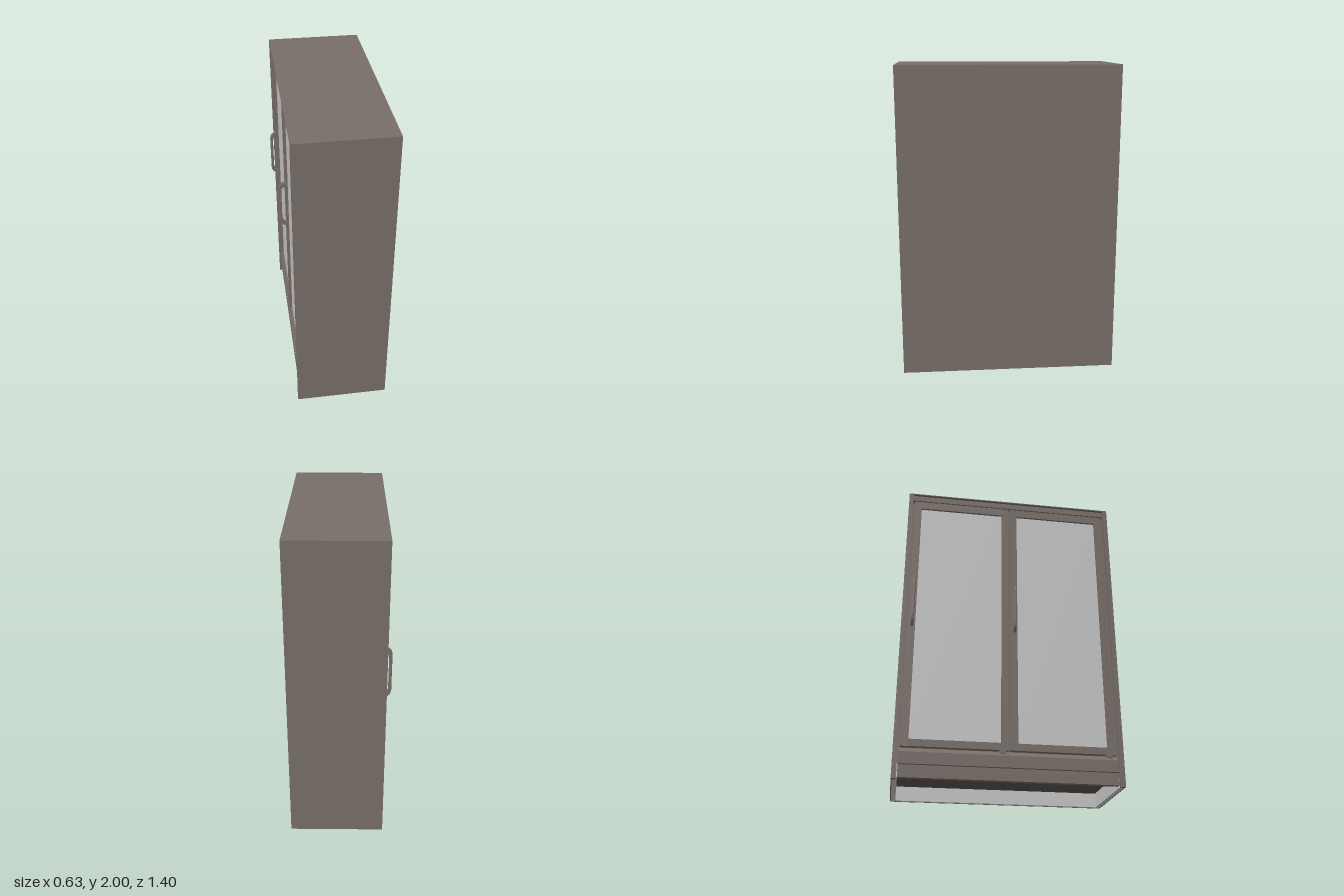
import * as THREE from 'three';

export function createModel() {
  const model = new THREE.Group();
  model.name = 'displayCooler';
  const mat = (name, color) => {
    const m = new THREE.MeshStandardMaterial({ color });
    m.name = name;
    return m;
  };
  const body = mat('taupe casing', 0x786e68);
  const light = mat('pale grey', 0xc8c8c8);
  const dark = mat('dark underside', 0x57524e);

  // Box given by its lower and upper limits on each axis
  const box = (name, material, x0, x1, y0, y1, z0, z1, parent = model) => {
    const g = new THREE.BoxGeometry(x1 - x0, y1 - y0, z1 - z0);
    g.translate((x0 + x1) / 2, (y0 + y1) / 2, (z0 + z1) / 2);
    const mesh = new THREE.Mesh(g, material);
    mesh.name = name;
    parent.add(mesh);
    return mesh;
  };

  const F = -0.285, B = 0.313, W = 0.699, T = 0.006;

  // Thin outer casing, open at the base and on the door side
  box('backPanel', body, B - T, B, 0, 2, -W, W);
  box('topPanel', body, F, B - T, 2 - T, 2, -W, W);
  for (const s of [-1, 1]) {
    const span = (a, b) => (s > 0 ? [a, b] : [-b, -a]);
    box('sidePanel', body, F, B - T, 0, 2 - T, ...span(W - T, W));
    box('sideFlange', body, F, F + 0.03, 0, 2 - T, ...span(W - 0.03, W - T));
    box('sideLiner', light, F + 0.03, B - T, 0, 0.1, ...span(W - 0.035, W - T));
  }
  box('backLiner', light, B - 0.035, B - T, 0, 0.1, -W + 0.035, W - 0.035);

  // Cabinet core with its dark floor
  box('cabinetCore', body, -0.235, B - T, 0.1, 2 - T, -W + T, W - T);
  box('floorPlate', dark, -0.235, B - 0.035, 0.092, 0.1, -W + 0.035, W - 0.035);
  box('topRail', body, -0.268, -0.235, 1.955, 2 - T, -W + 0.03, W - 0.03);

  // Kick panel with a sloping ledge and a seam
  const profile = new THREE.Shape();
  [[-0.235, 0.012], [-0.268, 0.012], [-0.268, 0.088], [-0.274, 0.092],
    [-0.274, 0.165], [-0.255, 0.19], [-0.235, 0.19]]
    .forEach(([x, y], i) => (i ? profile.lineTo(x, y) : profile.moveTo(x, y)));
  const kickGeo = new THREE.ExtrudeGeometry(profile, { depth: 2 * (W - 0.035), bevelEnabled: false });
  kickGeo.translate(0, 0, -(W - 0.035));
  const kick = new THREE.Mesh(kickGeo, body);
  kick.name = 'kickPanel';
  model.add(kick);

  // Closed bracket outline for the pull handle
  const handleShape = new THREE.Shape();
  [[0.022, -0.01], [0.003, -0.01], [-0.015, 0.003], [-0.025, 0.018], [-0.029, 0.04],
    [-0.029, 0.28], [-0.025, 0.302], [-0.015, 0.317], [0.003, 0.33], [0.022, 0.33],
    [0.022, 0.3], [0.003, 0.295], [-0.01, 0.275], [-0.01, 0.045], [0.003, 0.025], [0.022, 0.02]]
    .forEach(([x, y], i) => (i ? handleShape.lineTo(x, y) : handleShape.moveTo(x, y)));
  const handleGeo = new THREE.ExtrudeGeometry(handleShape, {
    depth: 0.008, bevelEnabled: true, bevelSize: 0.004, bevelOffset: -0.004,
    bevelThickness: 0.004, bevelSegments: 2,
  });
  handleGeo.translate(0, 0, -0.004);

  // Two doors, each with frame, glass, handle and lower hinge
  for (const z0 of [-0.662, -0.002]) {
    const door = new THREE.Group();
    door.name = 'door';
    const a = z0 + 0.004, b = z0 + 0.656, y0 = 0.2, y1 = 1.95, s = 0.048;
    const front = -0.266, rear = -0.235;
    box('stile', body, front, rear, y0, y1, a, a + s, door);
    box('stile', body, front, rear, y0, y1, b - s, b, door);
    box('topFrame', body, front, rear, y1 - 0.055, y1, a + s, b - s, door);
    box('bottomFrame', body, front, rear, y0, y0 + 0.045, a + s, b - s, door);
    box('glass', light, -0.253, -0.245, y0 + 0.045, y1 - 0.055, a + s, b - s, door);
    box('hinge', body, -0.274, -0.245, 0.18, y0, b - 0.06, b - 0.02, door);
    const handle = new THREE.Mesh(handleGeo, body);
    handle.name = 'handle';
    handle.position.set(F, 1, z0 + 0.032);
    door.add(handle);
    model.add(door);
  }
  return model;
}
